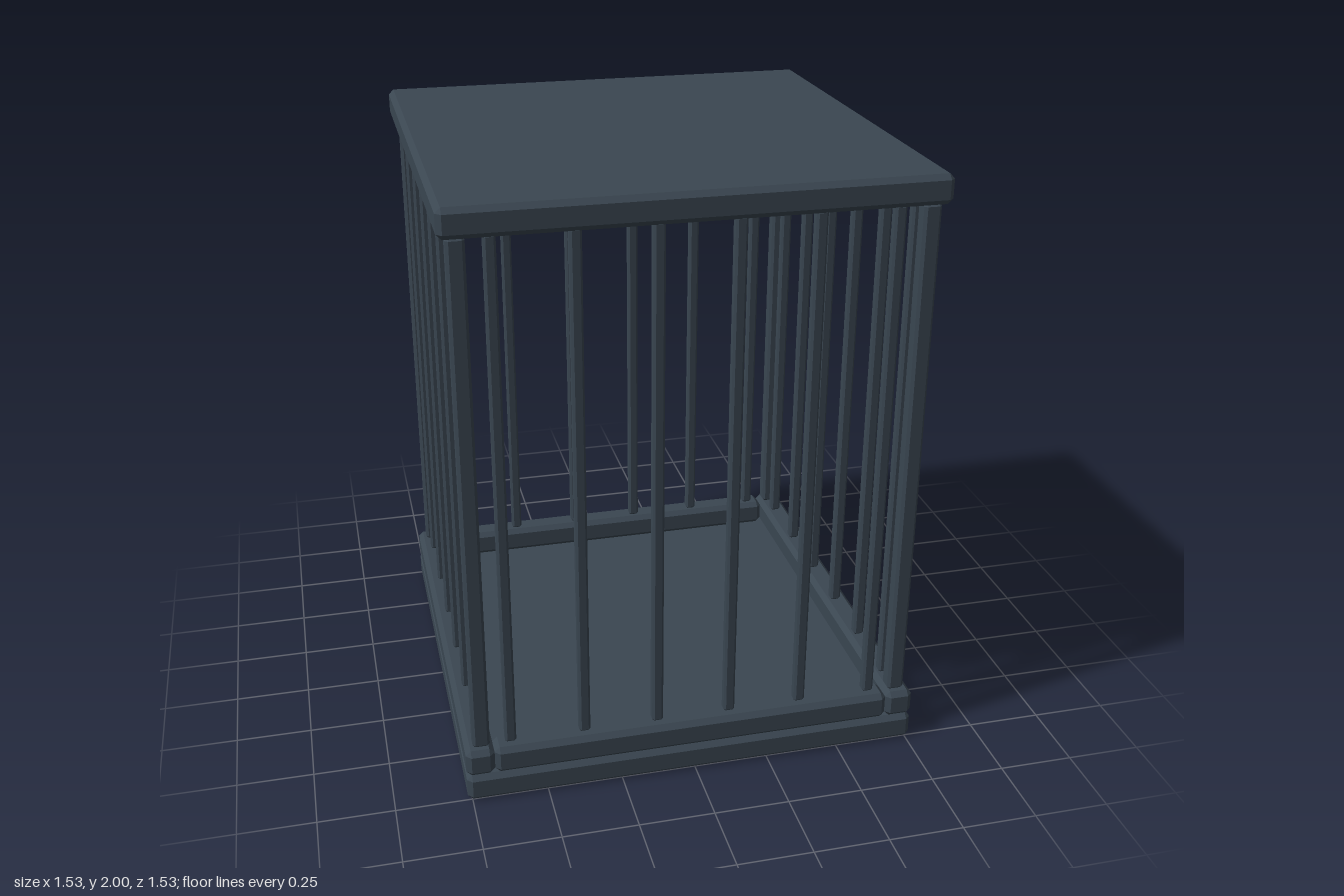
import * as THREE from 'three';
import { ConvexGeometry } from 'three/addons/geometries/ConvexGeometry.js';

const material = new THREE.MeshStandardMaterial({ color: 0x3a4651, flatShading: true });

// Box with every edge cut by a flat chamfer c
function chamferBox(w, h, d, c) {
  const points = [];
  for (const x of [-w / 2, w / 2]) for (const y of [-h / 2, h / 2]) for (const z of [-d / 2, d / 2]) {
    const ix = x - Math.sign(x) * c, iy = y - Math.sign(y) * c, iz = z - Math.sign(z) * c;
    points.push(
      new THREE.Vector3(x, iy, iz),
      new THREE.Vector3(ix, y, iz),
      new THREE.Vector3(ix, iy, z)
    );
  }
  return new ConvexGeometry(points);
}

export function createModel() {
  const group = new THREE.Group();
  const add = (name, geometry, x, y, z) => {
    const mesh = new THREE.Mesh(geometry, material);
    mesh.name = name;
    mesh.position.set(x, y, z);
    group.add(mesh);
  };

  const size = 1.53, thick = 0.094, chamfer = 0.017;
  const railTop = 2 * thick, roofBottom = 2 - thick;
  const barHeight = roofBottom - railTop, barY = (roofBottom + railTop) / 2;
  const railAt = (size - thick) / 2, barAt = 0.711;

  // Floor and roof slabs
  const slab = chamferBox(size, thick, size, chamfer);
  add('floorSlab', slab, 0, thick / 2, 0);
  add('roofSlab', slab, 0, 2 - thick / 2, 0);

  // Rails: the side ones run full depth, front and back fit between them
  const sideRail = chamferBox(thick, thick, size, chamfer);
  const crossRail = chamferBox(size - 2 * thick, thick, thick, chamfer);
  const post = chamferBox(0.056, barHeight, 0.056, 0.009);
  const bar = chamferBox(0.037, barHeight, 0.037, 0.007);
  for (const s of [-1, 1]) {
    add(s > 0 ? 'leftRail' : 'rightRail', sideRail, s * railAt, thick * 1.5, 0);
    add(s > 0 ? 'frontRail' : 'backRail', crossRail, 0, thick * 1.5, s * railAt);

    // Corner posts
    for (const t of [-1, 1]) add('cornerPost', post, s * barAt, barY, t * barAt);

    // Six bars along each side
    for (let i = 0; i < 6; i++) {
      const p = (i - 2.5) * 0.2455;
      add(s > 0 ? 'frontBar' : 'backBar', bar, p, barY, s * barAt);
      add(s > 0 ? 'leftBar' : 'rightBar', bar, s * barAt, barY, p);
    }
  }
  return group;
}
